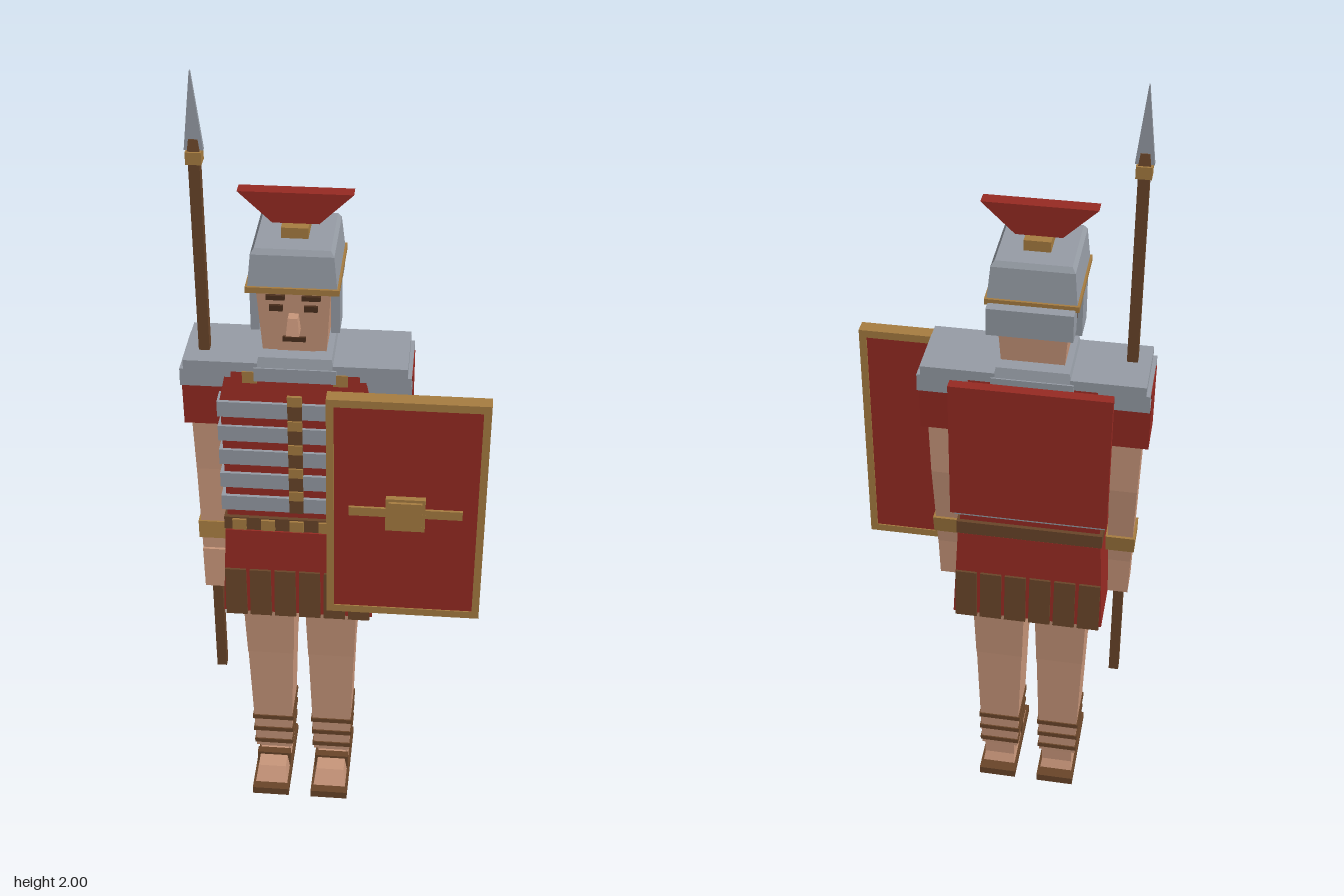
import * as THREE from 'three';

const mat = (name, color) => {
  const m = new THREE.MeshStandardMaterial({ color });
  m.name = name;
  return m;
};

export function createModel() {
  const red = mat('red cloth', 0x962a22);
  const silver = mat('steel', 0x969ca5);
  const gold = mat('brass', 0xa67c40);
  const skin = mat('skin', 0xc8967a);
  const brown = mat('leather', 0x694529);
  const dark = mat('dark brown', 0x4a2e1c);

  const model = new THREE.Group();
  model.name = 'soldier';
  const group = (name, parent, x = 0, y = 0, z = 0) => {
    const g = new THREE.Group();
    g.name = name;
    g.position.set(x, y, z);
    parent.add(g);
    return g;
  };

  // Plain box given by its centre and size
  const box = (parent, name, m, x, y, z, w, h, d) => {
    const mesh = new THREE.Mesh(new THREE.BoxGeometry(w, h, d), m);
    mesh.name = name;
    mesh.position.set(x, y, z);
    parent.add(mesh);
    return mesh;
  };

  // Tapered block between two levels; each end is [x, y, z, width, depth]
  const block = (parent, name, m, low, high) => {
    const geo = new THREE.BoxGeometry(1, 1, 1);
    const p = geo.attributes.position;
    for (let i = 0; i < p.count; i++) {
      const [x, y, z, w, d] = p.getY(i) < 0 ? low : high;
      p.setXYZ(i, x + p.getX(i) * w, y, z + p.getZ(i) * d);
    }
    geo.computeVertexNormals();
    const mesh = new THREE.Mesh(geo, m);
    mesh.name = name;
    parent.add(mesh);
    return mesh;
  };

  const body = group('body', model, -0.092, 0, -0.015);

  // Legs and sandals
  for (const s of [-1, 1]) {
    const leg = group(s > 0 ? 'leftLeg' : 'rightLeg', body, s * 0.079);
    block(leg, 'thigh', skin, [0, 0.435, 0, 0.12, 0.132], [0, 0.66, 0, 0.134, 0.154]);
    block(leg, 'shin', skin, [0, 0.085, 0, 0.096, 0.114], [0, 0.435, 0, 0.118, 0.13]);
    box(leg, 'ankle', skin, 0, 0.065, -0.01, 0.08, 0.06, 0.09);
    block(leg, 'foot', skin, [0, 0.022, 0.035, 0.086, 0.2], [0, 0.06, 0.03, 0.074, 0.16]);
    box(leg, 'sole', brown, 0, 0.011, 0.0315, 0.098, 0.022, 0.253);
    box(leg, 'footStrap', brown, 0, 0.045, 0.058, 0.09, 0.045, 0.02);
    box(leg, 'ankleStrap', brown, 0, 0.07, 0.002, 0.086, 0.022, 0.025);
    [0.105, 0.15, 0.195].forEach((y, i) =>
      box(leg, 'legStrap', brown, 0, y, 0, 0.104 + i * 0.003, 0.013, 0.122 + i * 0.002));
  }

  // Skirt with leather strips front and back
  block(body, 'skirt', red, [0, 0.62, 0.002, 0.374, 0.232], [0, 0.865, 0.002, 0.35, 0.206]);
  for (const s of [-1, 1]) {
    for (let i = 0; i < 6; i++) {
      const x = (i - 2.5) * 0.0615;
      block(body, 'skirtStrip', brown, [x, 0.613, 0.002 + s * 0.116, 0.054, 0.012],
        [x, 0.75, 0.002 + s * 0.109, 0.052, 0.012]);
    }
  }

  // Belt
  box(body, 'belt', brown, 0, 0.885, 0, 0.355, 0.036, 0.206);
  for (let i = -2; i <= 2; i++) {
    box(body, 'beltPlate', gold, i * 0.07, 0.885, 0.105, 0.034, 0.03, 0.008);
  }

  // Torso with hoops of armour
  block(body, 'torso', red, [0, 0.9, 0, 0.34, 0.186], [0, 1.23, 0, 0.35, 0.19]);
  block(body, 'upperChest', red, [0, 1.225, 0, 0.356, 0.19], [0, 1.31, 0, 0.32, 0.165]);
  box(body, 'chestStrap', brown, 0, 1.085, 0.1, 0.034, 0.32, 0.012);
  for (let i = 0; i < 5; i++) {
    const y = 0.945 + i * 0.0673;
    box(body, 'armourHoop', silver, 0, y, 0, 0.364, 0.041, 0.204);
    box(body, 'chestBuckle', gold, 0, y + 0.033, 0.106, 0.034, 0.026, 0.008);
  }

  // Cape
  block(body, 'cape', red, [0, 0.945, -0.111, 0.376, 0.022], [0, 1.31, -0.108, 0.376, 0.026]);

  // Collar
  box(body, 'lowerCollar', silver, 0, 1.305, 0, 0.19, 0.035, 0.18);
  block(body, 'upperCollar', silver, [0, 1.32, 0, 0.18, 0.174], [0, 1.347, 0, 0.168, 0.16]);

  // Arms and shoulder plates
  for (const s of [-1, 1]) {
    const arm = group(s > 0 ? 'leftArm' : 'rightArm', body);
    const x = s * 0.215;
    box(arm, 'shoulderPlate', silver, s * 0.172, 1.321, 0, 0.172, 0.025, 0.172);
    box(arm, 'shoulderPlate', silver, s * 0.208, 1.298, 0, 0.118, 0.023, 0.17);
    box(arm, 'shoulderPlate', silver, s * 0.21, 1.275, 0, 0.116, 0.023, 0.164);
    box(arm, 'shoulderBuckle', gold, s * 0.105, 1.296, 0.084, 0.034, 0.03, 0.01);
    block(arm, 'sleeve', red, [s * 0.223, 1.14, 0, 0.092, 0.106], [s * 0.219, 1.3, 0, 0.1, 0.116]);
    block(arm, 'upperArm', skin, [x, 1, 0, 0.068, 0.085], [x, 1.15, 0, 0.076, 0.086]);
    block(arm, 'forearm', skin, [x, 0.76, 0.018, 0.056, 0.068], [x, 1, 0, 0.068, 0.084]);
    block(arm, 'bracer', gold, [x, 0.8, 0.016, 0.07, 0.084], [x, 0.847, 0.01, 0.072, 0.086]);
    block(arm, 'hand', skin, [x, 0.653, 0.028, 0.05, 0.078], [x, 0.765, 0.022, 0.056, 0.074]);
  }

  // Head and face
  const head = group('head', body);
  box(head, 'neck', skin, 0, 1.36, 0, 0.088, 0.04, 0.09);
  block(head, 'skull', skin, [0, 1.37, 0, 0.145, 0.16], [0, 1.55, 0, 0.17, 0.178]);
  block(head, 'nose', skin, [0, 1.428, 0.1, 0.03, 0.04], [0, 1.468, 0.094, 0.022, 0.032]);
  for (const s of [-1, 1]) {
    box(head, 'eye', dark, s * 0.039, 1.483, 0.089, 0.03, 0.014, 0.008);
    box(head, 'eyebrow', dark, s * 0.04, 1.51, 0.091, 0.042, 0.011, 0.008);
  }
  box(head, 'mouth', dark, 0, 1.402, 0.085, 0.052, 0.011, 0.008);
  box(head, 'hair', dark, 0, 1.495, -0.055, 0.178, 0.075, 0.08);

  // Helmet with crest
  const helmet = group('helmet', head);
  box(helmet, 'rim', gold, 0, 1.538, 0, 0.208, 0.014, 0.228);
  block(helmet, 'dome', silver, [0, 1.545, 0, 0.198, 0.216], [0, 1.618, 0, 0.184, 0.2]);
  block(helmet, 'domeTop', silver, [0, 1.618, 0, 0.184, 0.2], [0, 1.63, 0, 0.168, 0.184]);
  box(helmet, 'neckGuard', silver, 0, 1.503, -0.112, 0.192, 0.066, 0.054);
  for (const s of [-1, 1]) {
    box(helmet, 'cheekGuard', silver, s * 0.091, 1.473, 0.024, 0.02, 0.128, 0.078);
  }
  box(helmet, 'crestHolder', gold, 0, 1.642, 0, 0.06, 0.026, 0.08);
  block(helmet, 'crest', red, [0, 1.655, 0, 0.104, 0.034], [0, 1.727, 0, 0.256, 0.034]);

  // Spear
  const spear = group('spear', model, -0.307, 0, 0.01);
  box(spear, 'shaft', brown, 0, 1.08, 0, 0.025, 1.45, 0.025);
  box(spear, 'spearCollar', gold, 0, 1.81, 0, 0.035, 0.028, 0.035);
  block(spear, 'socket', brown, [0, 1.82, 0, 0.028, 0.026], [0, 1.85, 0, 0.02, 0.016]);
  block(spear, 'blade', silver, [0, 1.825, 0, 0.042, 0.012], [0, 2, 0, 0.002, 0.008]);

  // Shield
  const shield = group('shield', model, 0.172, 0.972, 0.115);
  box(shield, 'shieldPanel', red, 0, 0, 0, 0.345, 0.59, 0.03);
  for (const s of [-1, 1]) {
    box(shield, 'shieldSideEdge', gold, s * 0.179, 0, 0, 0.018, 0.624, 0.036);
    box(shield, 'shieldEndEdge', gold, 0, s * 0.302, 0, 0.342, 0.02, 0.036);
  }
  box(shield, 'shieldBar', gold, 0, 0.003, 0.017, 0.27, 0.024, 0.009);
  box(shield, 'bossBase', gold, 0, 0.003, 0.02, 0.094, 0.092, 0.018);
  box(shield, 'boss', gold, 0, 0.003, 0.027, 0.08, 0.078, 0.018);

  return model;
}
